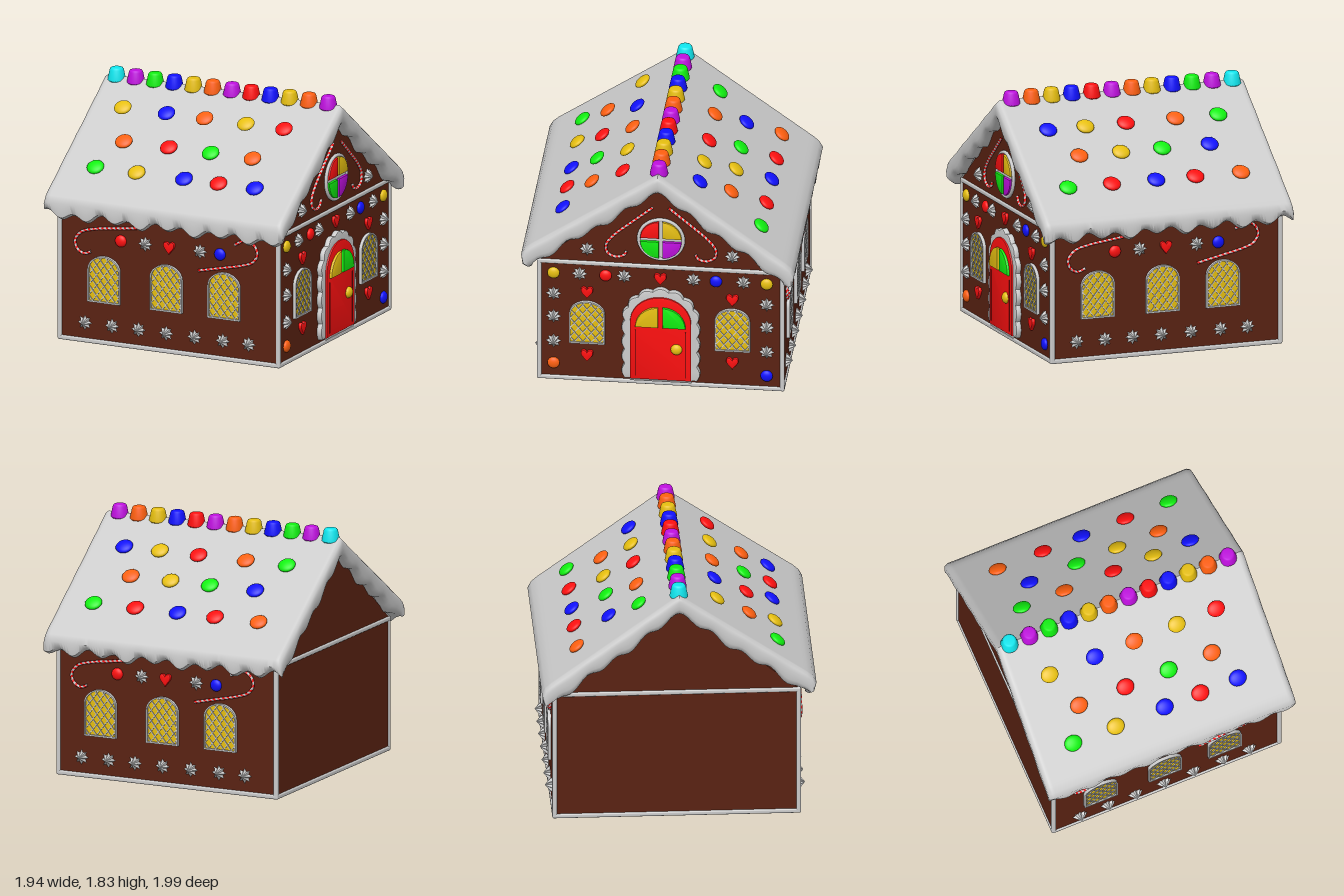
import * as THREE from 'three';
import { toCreasedNormals } from 'three/addons/utils/BufferGeometryUtils.js';
import { RoundedBoxGeometry } from 'three/addons/geometries/RoundedBoxGeometry.js';

const C = { grey: 0xcccccc, brown: 0x5a2212, red: 0xff1010, darkRed: 0x8a0808, yellow: 0xe6bf10, orange: 0xff6010,
  blue: 0x1010ff, green: 0x10f010, purple: 0xc010e0, cyan: 0x10e8f0 };
const mats = {};
const mat = (c, flat = false) => (mats[c + flat] ??= new THREE.MeshStandardMaterial({ color: C[c], flatShading: flat }));
const CX = -0.008, CZ = -0.016, HALF = 0.893; // wall box centre and half width

function add(parent, name, geo, color, x = 0, y = 0, z = 0, flat = false) {
  const m = new THREE.Mesh(geo, mat(color, flat));
  m.name = name;
  m.position.set(x, y, z);
  parent.add(m);
  return m;
}
function slab(shape, depth, bevel = 0.006) {
  const g = new THREE.ExtrudeGeometry(shape, { depth, bevelEnabled: bevel > 0, bevelThickness: bevel,
    bevelSize: bevel, bevelOffset: -bevel, bevelSegments: 2, curveSegments: 16 });
  return toCreasedNormals(g, 0.7);
}

// Arched outline, optionally with a scalloped edge
function archPoints(hw, y0, ySpring, yTop, wave = 0) {
  const nSide = wave ? 24 : 1, nArc = wave ? 42 : 20, pts = [];
  const d = i => wave * Math.abs(Math.sin(i * Math.PI / 6));
  for (let i = 0; i < nSide; i++) pts.push(new THREE.Vector2(hw + d(i), y0 + (ySpring - y0) * i / nSide));
  for (let i = 0; i <= nArc; i++) {
    const a = Math.PI * i / nArc, e = d(i);
    pts.push(new THREE.Vector2((hw + e) * Math.cos(a), ySpring + (yTop - ySpring + e) * Math.sin(a)));
  }
  for (let i = nSide - 1; i >= 0; i--) pts.push(new THREE.Vector2(-hw - d(i), y0 + (ySpring - y0) * i / nSide));
  return pts;
}
function archRing(outer, inner) {
  const s = new THREE.Shape(outer);
  s.holes.push(new THREE.Path(inner));
  return s;
}

// Small sweets: piped icing star, heart, round sweet
const starGeo = (() => {
  const g = new THREE.ConeGeometry(0.056, 0.05, 16, 2), p = g.attributes.position;
  for (let i = 0; i < p.count; i++) {
    const k = Math.round(Math.atan2(p.getX(i), p.getZ(i)) / (Math.PI / 8));
    const f = (k & 1 ? 0.62 : 1) * (Math.abs(p.getY(i)) < 0.01 ? 1.2 : 1);
    p.setX(i, p.getX(i) * f);
    p.setZ(i, p.getZ(i) * f);
  }
  return g.rotateX(Math.PI / 2).translate(0, 0, 0.025);
})();
const heartGeo = (() => {
  const s = new THREE.Shape();
  s.moveTo(0, -0.05);
  s.bezierCurveTo(0.02, -0.022, 0.045, -0.005, 0.045, 0.02);
  s.bezierCurveTo(0.045, 0.05, 0.008, 0.052, 0, 0.025);
  s.bezierCurveTo(-0.008, 0.052, -0.045, 0.05, -0.045, 0.02);
  s.bezierCurveTo(-0.045, -0.005, -0.02, -0.022, 0, -0.05);
  return slab(s, 0.012, 0.008);
})();
const sweetGeo = new THREE.SphereGeometry(1, 24, 14);

const star = (w, u, v) => add(w, 'icingStar', starGeo, 'grey', u, v, 0, true);
const heart = (w, u, v) => add(w, 'heart', heartGeo, 'red', u, v, 0.006);
const sweet = (w, color, u, v) => add(w, 'roundSweet', sweetGeo, color, u, v, 0.008).scale.set(0.045, 0.045, 0.024);

// Striped cane: one tube whose faces are split into red and white spirals
function cane(wall, pts) {
  const curve = new THREE.CatmullRomCurve3(pts.map(([u, v]) => new THREE.Vector3(u, v, 0.016)));
  const tube = new THREE.TubeGeometry(curve, 80, 0.011, 8), idx = Array.from(tube.index.array);
  for (const [color, red] of [['red', true], ['grey', false]]) {
    const g = tube.clone();
    g.setIndex(idx.filter((_, n) => {
      const q = Math.floor(n / 6), j = Math.floor(q / 8);
      return ((q % 8 + 2 * j) % 8 < 4) === red;
    }));
    add(wall, 'candyCane', g, color);
  }
}

// Arched window with diamond lattice
function archedWindow(wall, u) {
  const w = new THREE.Group(), hw = 0.122, y0 = 0.325, ys = 0.56, top = 0.66;
  w.name = 'window';
  w.position.x = u;
  wall.add(w);
  add(w, 'pane', slab(new THREE.Shape(archPoints(hw, y0, ys, top)), 0.012, 0), 'yellow');
  const ring = archRing(archPoints(0.13, 0.317, ys, 0.668), archPoints(0.119, 0.329, ys, 0.657));
  add(w, 'windowFrame', slab(ring, 0.024, 0), 'grey');
  const inside = (x, y) => Math.abs(x) < hw && y > y0 && (y < ys || (x / hw) ** 2 + ((y - ys) / (top - ys)) ** 2 < 1);
  for (const dir of [1, -1]) for (let k = -6; k <= 6; k++) {
    const ang = 0.9 * dir, c = Math.cos(ang), s = Math.sin(ang), off = k * 0.048 + 0.02;
    const on = [];
    for (let t = -0.4; t <= 0.4; t += 0.005) if (inside(-s * off + c * t, 0.49 + c * off + s * t)) on.push(t);
    if (on.length < 5) continue;
    const a = on[0], b = on[on.length - 1], m = (a + b) / 2;
    add(w, 'lattice', new THREE.BoxGeometry(b - a, 0.007, 0.01), 'grey',
      -s * off + c * m, 0.49 + c * off + s * m, 0.014).rotation.z = ang;
  }
}

// Quarter-round pane, turned by quarter steps
function quarterPane(parent, color, r, gap, turn, u, v, z) {
  const s = new THREE.Shape();
  s.moveTo(gap, gap);
  s.lineTo(r, gap);
  s.absellipse(gap, gap, r - gap, r - gap, 0, Math.PI / 2, false, 0);
  s.lineTo(gap, gap);
  add(parent, 'quarterPane', slab(s, 0.014, 0.006), color, u, v, z).rotation.z = turn * Math.PI / 2;
}

function longWall() {
  const w = new THREE.Group();
  w.name = 'longWallDecoration';
  for (const u of [-0.53, -0.025, 0.445]) archedWindow(w, u);
  for (const u of [-0.69, -0.47, -0.255, -0.03, 0.2, 0.43, 0.64]) star(w, u, 0.15);
  for (const u of [-0.2, 0.245]) star(w, u, 0.8);
  sweet(w, 'red', -0.395, 0.8);
  sweet(w, 'blue', 0.41, 0.8);
  heart(w, 0, 0.8);
  cane(w, [[-0.26, 0.915], [-0.45, 0.89], [-0.6, 0.868], [-0.71, 0.835], [-0.762, 0.77], [-0.745, 0.705], [-0.69, 0.675], [-0.63, 0.695]]);
  cane(w, [[0.24, 0.66], [0.42, 0.7], [0.6, 0.742], [0.68, 0.775], [0.718, 0.84], [0.69, 0.905], [0.62, 0.932], [0.535, 0.89]]);
  return w;
}

function doorWall() {
  const w = new THREE.Group(), c = 0.02; // c: middle of door and gable window
  w.name = 'doorWallDecoration';
  for (const u of [-0.52, 0.54]) {
    archedWindow(w, u);
    heart(w, u, 0.745);
    heart(w, u, 0.22);
    star(w, u, 1.1);
  }
  for (const u of [-0.765, 0.79]) for (const v of [0.715, 0.525, 0.32]) star(w, u, v);
  for (const u of [-0.575, -0.25, 0.255, 0.62]) star(w, u, 0.89);
  heart(w, 0.015, 0.89);
  for (const [col, u, v] of [['yellow', -0.765, 0.89], ['red', -0.385, 0.89], ['blue', 0.42, 0.89], ['yellow', 0.79, 0.89],
    ['orange', -0.765, 0.14], ['blue', 0.79, 0.125]]) sweet(w, col, u, v);
  // Door
  const door = new THREE.Group();
  door.name = 'door';
  door.position.x = c;
  w.add(door);
  add(door, 'doorLeaf', slab(new THREE.Shape(archPoints(0.223, 0.065, 0.54, 0.75)), 0.045), 'red');
  add(door, 'doorIcing', slab(archRing(archPoints(0.265, 0.06, 0.54, 0.795, 0.022), archPoints(0.215, 0.055, 0.54, 0.74)), 0.028, 0.01), 'grey');
  quarterPane(door, 'green', 0.183, 0.017, 0, 0, 0.49, 0.05);
  quarterPane(door, 'yellow', 0.183, 0.017, 1, 0, 0.49, 0.05);
  for (const s of [-1, 1]) add(door, 'doorGroove', new THREE.BoxGeometry(0.008, 0.38, 0.006), 'darkRed', s * 0.182, 0.285, 0.052);
  add(door, 'doorKnob', sweetGeo, 'yellow', 0.117, 0.33, 0.055).scale.set(0.042, 0.042, 0.028);
  // Round gable window
  add(w, 'roundWindowBack', new THREE.CylinderGeometry(0.165, 0.165, 0.012, 48), 'grey', c, 1.22, 0.006).rotation.x = Math.PI / 2;
  add(w, 'roundWindowRing', new THREE.TorusGeometry(0.163, 0.013, 10, 48), 'grey', c, 1.22, 0.012);
  ['yellow', 'red', 'green', 'purple'].forEach((col, q) => quarterPane(w, col, 0.15, 0.013, q, c, 1.22, 0.015));
  for (const s of [-1, 1]) cane(w, [[0.055, 1.487], [0.21, 1.355], [0.345, 1.235], [0.4, 1.155], [0.392, 1.09],
    [0.33, 1.058], [0.27, 1.075], [0.25, 1.115]].map(([u, v]) => [c + s * u, v]));
  return w;
}

// Icing roof: folded cross-sections lofted along x, with dripping eaves and gable ends
function roofGeometry() {
  const drip = t => 0.7 * Math.sin(29 * t) + 0.35 * Math.sin(13 * t + 1);
  const stations = [[-0.97, 1], [-0.97, 0.6], [-0.962, 0.25], [-0.94, 0]];
  for (let i = -45; i <= 45; i++) stations.push([i * 0.0204, 0]);
  stations.push([0.94, 0], [0.962, 0.25], [0.97, 0.6], [0.97, 1]);
  const pos = [], idx = [], N = 30;
  let L = 0;
  for (const [x, inset] of stations) {
    const half = (side, k) => { // pairs of outer and inner points, ridge to eave
      const y0 = 1.77 - k * 0.93, eave = (side > 0 ? 0.95 : 0.925) + 0.036 * drip(x + side), list = [];
      for (let i = 0; i <= N; i++) {
        const z = 0.93 * i / N, y = 1.77 - k * z;
        const th = Math.abs(x) > 0.87 ? 0.15 + 0.028 * drip(z + 0.13) : 0.08;
        list.push([z, y, z * 0.975, Math.max(y - th, eave + 0.02)]);
      }
      list.push([0.972, y0 - 0.037, 0.92, eave + 0.015], [0.997, y0 - 0.085, 0.935, eave + 0.005], [0.985, eave + 0.02, 0.95, eave]);
      return list.map(([a, b, c, d]) => [a * side, b, c * side, d]);
    };
    const all = [...half(-1, 0.73).reverse(), ...half(1, 0.68).slice(1)];
    const f = inset / 2;
    const outer = all.map(([a, b, c, d]) => [a + (c - a) * f, b + (d - b) * f]);
    const inner = all.map(([a, b, c, d]) => [c + (a - c) * f, d + (b - d) * f]).reverse();
    const loop = [...outer, ...inner];
    L = loop.length;
    for (const [z, y] of loop) pos.push(x - 0.004, y, z);
  }
  for (let i = 0; i < stations.length - 1; i++) for (let j = 0; j < L; j++) {
    const a = i * L + j, b = i * L + (j + 1) % L;
    idx.push(a, b, b + L, a, b + L, a + L);
  }
  const g = new THREE.BufferGeometry();
  g.setAttribute('position', new THREE.Float32BufferAttribute(pos, 3));
  g.setIndex(idx);
  return toCreasedNormals(g, 0.9);
}

export function createModel() {
  const house = new THREE.Group();
  house.name = 'gingerbreadHouse';
  // Walls and gable
  add(house, 'walls', new THREE.BoxGeometry(HALF * 2, 0.98, HALF * 2), 'brown', CX, 0.502, CZ);
  const tri = new THREE.Shape([[-0.88, 0.985], [0.88, 0.985], [0, 1.68]].map(p => new THREE.Vector2(...p)));
  add(house, 'gable', slab(tri, HALF * 2, 0).rotateY(Math.PI / 2), 'brown', CX - HALF, 0, 0);
  // Icing trim on the twelve edges
  const e = HALF - 0.007, t = 0.035;
  for (const a of [-1, 1]) for (const b of [-1, 1]) {
    const y = a < 0 ? t / 2 : 1 - t / 2;
    add(house, 'trim', new RoundedBoxGeometry(2 * HALF + 0.02, t, t, 2, 0.012), 'grey', CX, y, CZ + b * e);
    add(house, 'trim', new RoundedBoxGeometry(t, t, 2 * HALF + 0.02, 2, 0.012), 'grey', CX + b * e, y, CZ);
    add(house, 'trim', new RoundedBoxGeometry(t, 1, t, 2, 0.012), 'grey', CX + a * e, 0.5, CZ + b * e);
  }
  // Decorated walls: both long sides and the door side
  const front = longWall(), back = longWall(), side = doorWall();
  front.position.z = CZ + HALF;
  back.position.z = CZ - HALF;
  back.rotation.y = Math.PI;
  side.position.x = CX + HALF;
  side.rotation.y = Math.PI / 2;
  house.add(front, back, side);
  // Roof with sweets: [y, z, [colour, x]...]
  add(house, 'icingRoof', roofGeometry(), 'grey');
  const rows = [
    [1.625, 0.29, ['yellow', -0.68], ['blue', -0.325], ['orange', -0.015], ['yellow', 0.32], ['red', 0.63]],
    [1.445, 0.53, ['orange', -0.55], ['red', -0.185], ['green', 0.155], ['orange', 0.495]],
    [1.285, 0.73, ['green', -0.68], ['yellow', -0.345], ['blue', 0.04], ['red', 0.32], ['blue', 0.615]],
    [1.26, -0.73, ['orange', -0.66], ['red', -0.305], ['blue', 0], ['red', 0.345], ['green', 0.685]],
    [1.43, -0.49, ['blue', -0.51], ['green', -0.14], ['yellow', 0.18], ['orange', 0.505]],
    [1.59, -0.28, ['green', -0.66], ['orange', -0.325], ['red', 0.06], ['yellow', 0.375], ['blue', 0.665]]];
  for (const [y, z, ...sweets] of rows) for (const [color, x] of sweets) {
    const m = add(house, 'roofSweet', sweetGeo, color, x, y, z);
    m.scale.set(0.066, 0.027, 0.062);
    m.rotation.x = Math.sign(z) * 0.64;
  }
  // Gumdrops along the ridge
  const drop = new THREE.LatheGeometry([[0, 0], [0.06, 0], [0.067, 0.012], [0.052, 0.085], [0.045, 0.098], [0.036, 0.102], [0, 0.102]]
    .map(p => new THREE.Vector2(...p)), 28);
  ['cyan', 'purple', 'green', 'blue', 'yellow', 'orange', 'purple', 'red', 'blue', 'yellow', 'orange', 'purple']
    .forEach((color, i) => add(house, 'gumdrop', drop, color, -0.875 + i * 0.1563, 1.73, 0));
  return house;
}
